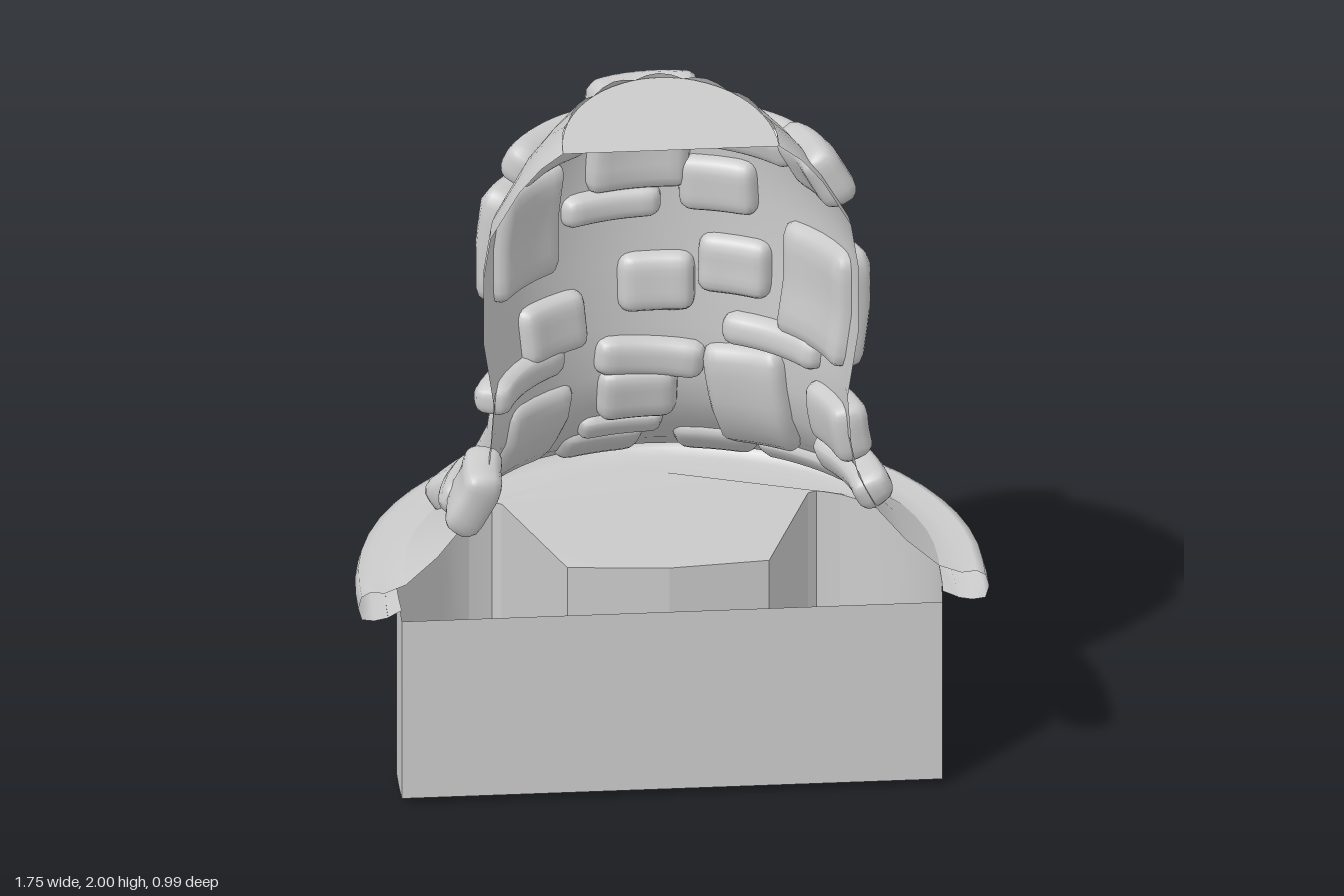
import * as THREE from 'three';
import { mergeVertices, toCreasedNormals } from 'three/addons/utils/BufferGeometryUtils.js';

const material = new THREE.MeshStandardMaterial({ color: 0xcccccc, side: THREE.DoubleSide });
const CUT = 0.4; // z of the plane where the half tower is cut open
const SEG = 28;

// Tower wall and skirt sections: height, half width, depth behind the cut
const wall = [
  [1.985, 0.30, 0.44], [1.94, 0.36, 0.46], [1.87, 0.42, 0.475], [1.73, 0.50, 0.48],
  [1.6, 0.52, 0.48], [1.4, 0.52, 0.48], [1.2, 0.49, 0.47], [1.05, 0.50, 0.48],
  [0.95, 0.52, 0.50], [0.85, 0.57, 0.56], [0.76, 0.65, 0.65], [0.69, 0.74, 0.75],
];
// Rounded rim that closes the skirt below
const rim = [
  [0.675, 0.80, 0.81], [0.685, 0.84, 0.86], [0.675, 0.865, 0.885], [0.64, 0.875, 0.895],
  [0.605, 0.865, 0.885], [0.595, 0.83, 0.85], [0.597, 0.79, 0.80],
];

function add(group, name, geometry) {
  const mesh = new THREE.Mesh(geometry, material);
  mesh.name = name;
  group.add(mesh);
}

// Surface through rows of points that all have the same length
function loft(rows) {
  const n = rows[0].length, index = [];
  for (let r = 0; r < rows.length - 1; r++) {
    for (let i = 0; i < n - 1; i++) {
      const a = r * n + i, b = a + n;
      index.push(a, a + 1, b, b, a + 1, b + 1);
    }
  }
  const g = new THREE.BufferGeometry().setFromPoints(rows.flat());
  g.setIndex(index);
  g.computeVertexNormals();
  return g;
}

// Half ring, with short straight ends that reach forward on the wide rows
function halfRing([y, w, d], bump = 0) {
  const front = CUT + Math.max(0, w - 0.55) * 0.28;
  const pts = [new THREE.Vector3(w, y, front)];
  for (let i = 0; i <= SEG; i++) {
    const t = (i / SEG) * Math.PI;
    pts.push(new THREE.Vector3(w * Math.cos(t), y + bump * Math.abs(Math.sin(t * 7)), CUT - d * Math.sin(t)));
  }
  pts.push(new THREE.Vector3(-w, y, front));
  return pts;
}

// Half width and depth of the wall at a height
function sectionAt(y) {
  let i = 0;
  while (i < wall.length - 2 && wall[i + 1][0] > y) i++;
  const [a, b] = [wall[i], wall[i + 1]];
  const k = (a[0] - y) / (a[0] - b[0]);
  return [a[1] + (b[1] - a[1]) * k, a[2] + (b[2] - a[2]) * k];
}

function onWall(t, y) {
  const [w, d] = sectionAt(y);
  return new THREE.Vector3(w * Math.cos(t), y, CUT - d * Math.sin(t));
}

// Rounded block wrapped around the wall between two angles and two heights
function stoneGeometry(t1, t2, y1, y2, roll, lift) {
  const tc = (t1 + t2) / 2, yc = (y1 + y2) / 2;
  const radius = sectionAt(yc)[0] + 0.02;
  const half = new THREE.Vector3((t2 - t1) * radius / 2, (y2 - y1) / 2, 0.055);
  const r = Math.min(0.042, half.x * 0.8, half.y * 0.8);
  const core = half.clone().subScalar(r);
  let g = new THREE.BoxGeometry(half.x * 2, half.y * 2, half.z * 2, 10, 8, 4);
  g.deleteAttribute('uv');
  g.deleteAttribute('normal');
  g = mergeVertices(g);
  const pos = g.attributes.position, p = new THREE.Vector3(), e = 0.015;
  for (let i = 0; i < pos.count; i++) {
    p.fromBufferAttribute(pos, i);
    const inner = p.clone().clamp(core.clone().negate(), core);
    p.sub(inner).setLength(r).add(inner);
    const u = p.x * Math.cos(roll) - p.y * Math.sin(roll);
    const v = p.x * Math.sin(roll) + p.y * Math.cos(roll);
    const y = yc + v;
    const t = tc - u / (sectionAt(y)[0] + 0.02);
    const along = onWall(t + e, y).sub(onWall(t - e, y));
    const up = onWall(t, y + 0.04).sub(onWall(t, y - 0.04));
    const normal = up.cross(along).normalize();
    if (normal.x * Math.cos(t) - normal.z * Math.sin(t) < 0) normal.negate();
    const q = onWall(t, y).addScaledVector(normal, p.z + lift);
    pos.setXYZ(i, q.x, q.y, q.z);
  }
  g.computeVertexNormals();
  return g;
}

// Stones across the back: x from, x to, y from, y to, roll
const backStones = [
  [-0.21, 0.10, 1.63, 1.97], [-0.43, -0.21, 1.77, 1.88],
  [-0.29, 0.01, 1.54, 1.64], [0.06, 0.29, 1.56, 1.73], [0.12, 0.38, 1.76, 1.88],
  [-0.12, 0.11, 1.25, 1.43], [0.12, 0.33, 1.31, 1.49], [-0.42, -0.22, 1.17, 1.35],
  [0.19, 0.46, 1.16, 1.26], [-0.19, 0.14, 1.05, 1.17, -0.1], [-0.18, 0.06, 0.91, 1.08],
  [0.15, 0.38, 0.82, 1.16, 0.08],
];
// Stones round the sides: degrees from, to, y from, y to, roll
const sideStones = [
  [12, 48, 1.23, 1.58], [6, 38, 1.74, 1.90, 0.1], [7, 34, 0.95, 1.13], [1, 37, 0.83, 0.93],
  [124, 157, 1.42, 1.76], [124, 167, 1.11, 1.21], [166, 187, 0.83, 1.03, 0.15],
];
// Stones lying on the skirt, set further out; same columns
const skirtStones = [
  [119, 147, 0.77, 1.06], [150, 175, 0.81, 0.90, -0.08], [88, 113, 0.83, 0.91],
  [35, 63, 0.73, 0.81, 0.04], [64, 85, 0.71, 0.83], [93, 115, 0.71, 0.84],
  [134, 152, 0.70, 0.80, 0.05],
];

// Plan of the base: two curved blocks with a flared niche between them
function basePlan() {
  const outer = new THREE.SplineCurve([
    [0.75, 0.44], [0.75, 0.25], [0.70, 0.07], [0.62, -0.07], [0.53, -0.16], [0.45, -0.19],
  ].map(([x, z]) => new THREE.Vector2(x, z)));
  const half = outer.getPoints(12).map((p) => [p.x, p.y]);
  half.push([0.425, -0.17], [0.28, 0.30]);
  return [...half, [0, 0.34], ...half.map(([x, z]) => [-x, z]).reverse()];
}

// Underside of the skirt, rising gently towards the middle
const ceilingAt = (x, z) => 0.655 - 0.09 * (x * x + (z - CUT) ** 2);

// Flat sheet from a plan of [x, z] points
function sheet(points, y) {
  const shape = new THREE.Shape(points.map(([x, z]) => new THREE.Vector2(x, -z)));
  return new THREE.ShapeGeometry(shape).rotateX(-Math.PI / 2).translate(0, y, 0);
}

export function createModel() {
  const model = new THREE.Group();
  model.name = 'halfStoneTower';

  // Open tower shell with skirt and rim
  const rings = wall.map((row, i) => halfRing(row, i ? 0 : 0.014));
  add(model, 'towerWall', loft(rings));
  add(model, 'skirtRim', loft([rings[rings.length - 1], ...rim.map((row) => halfRing(row))]));

  // Flat top
  add(model, 'towerTop', sheet(rings[0].slice(1, -1).map((p) => [p.x, p.z]), 1.985));

  // Stones
  const stones = new THREE.Group();
  stones.name = 'stones';
  model.add(stones);
  for (const [x1, x2, y1, y2, roll = 0] of backStones) {
    const w = sectionAt((y1 + y2) / 2)[0] + 0.03;
    add(stones, 'stone', stoneGeometry(Math.acos(x2 / w), Math.acos(x1 / w), y1, y2, roll, 0.012));
  }
  for (const [list, lift] of [[sideStones, 0.012], [skirtStones, 0.028]]) {
    for (const [d1, d2, y1, y2, roll = 0] of list) {
      const rad = Math.PI / 180;
      add(stones, 'stone', stoneGeometry(d1 * rad, d2 * rad, y1, y2, roll, lift));
    }
  }

  // Base, open below: walls and front panel; the inner niche corners reach the ground
  const plan = basePlan();
  const foot = (x, z) => (z === 0.30 && Math.abs(x) === 0.28 ? 0 : 0.02);
  const walls = loft([
    plan.map(([x, z]) => new THREE.Vector3(x, z > 0.4 ? 0.57 : ceilingAt(x, z), z)),
    plan.map(([x, z]) => new THREE.Vector3(x, foot(x, z), z)),
  ]);
  add(model, 'baseWalls', toCreasedNormals(walls, 0.25));
  add(model, 'baseFront', new THREE.PlaneGeometry(1.5, 0.55).translate(0, 0.295, 0.44));

  // Ceiling over the niche and under the rim, open above the hollow blocks
  const edge = halfRing([0, 0.79, 0.80]).map((p) => [p.x, p.z]);
  const ceiling = sheet([...edge, ...plan.slice().reverse()], 0);
  const pos = ceiling.attributes.position;
  for (let i = 0; i < pos.count; i++) pos.setY(i, ceilingAt(pos.getX(i), pos.getZ(i)));
  ceiling.computeVertexNormals();
  add(model, 'nicheCeiling', ceiling);
  return model;
}
